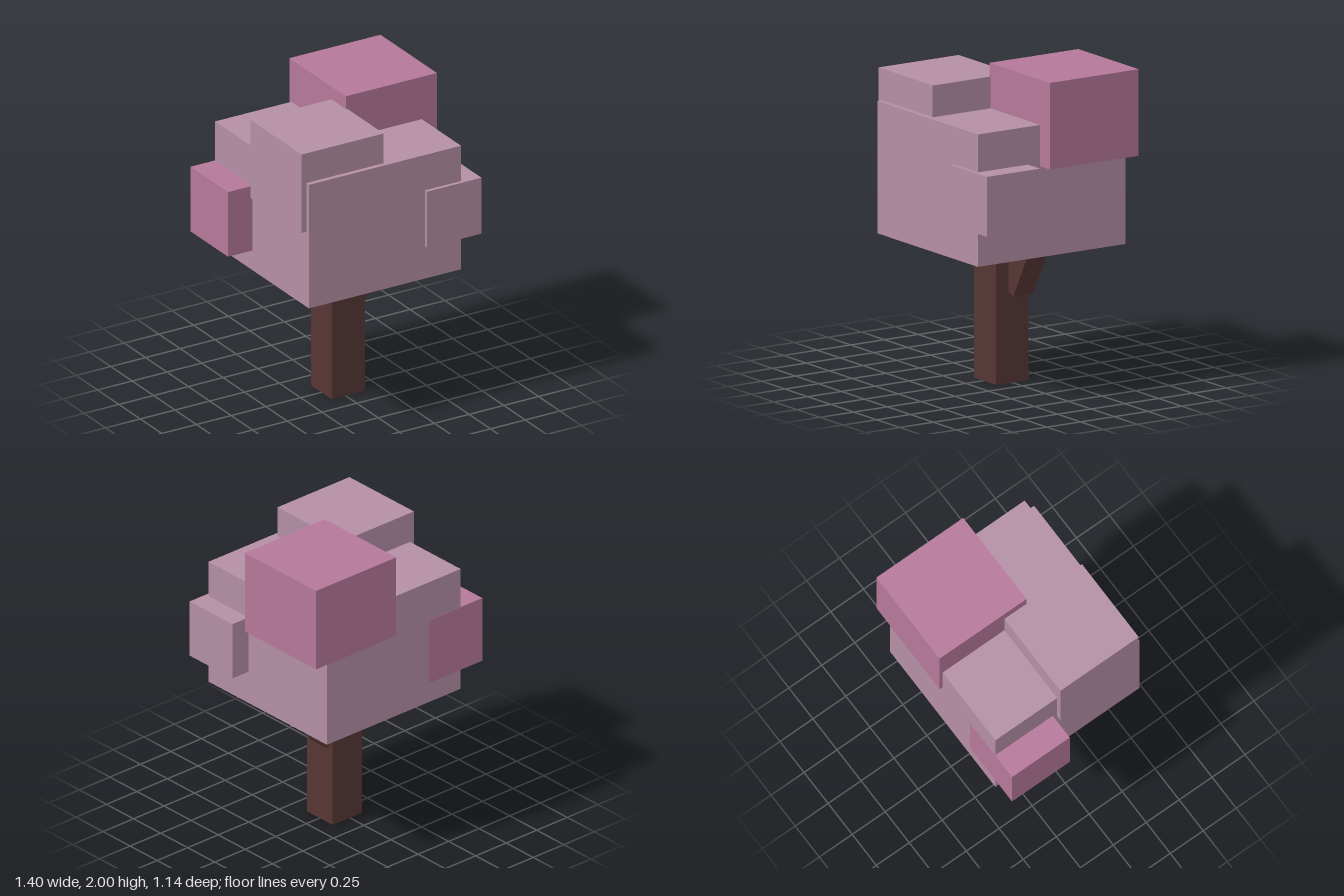
import * as THREE from 'three';

const flat = (name, color) => {
  const m = new THREE.MeshStandardMaterial({ color, side: THREE.DoubleSide });
  m.name = name;
  return m;
};

// Box without its underside
function openBox(w, h, d) {
  const g = new THREE.BoxGeometry(w, h, d);
  const index = Array.from(g.index.array);
  index.splice(18, 6);
  g.setIndex(index);
  g.clearGroups();
  return g;
}

export function createModel() {
  const tree = new THREE.Group();
  tree.name = 'blockTree';

  const leaf = flat('mauveLeaf', 0xb48fa4);
  const blossom = flat('pinkLeaf', 0xb57899);
  const bark = flat('bark', 0x563634);

  // Axis-aligned block given by its lower and upper corners
  const block = (name, material, [x0, y0, z0], [x1, y1, z1]) => {
    const mesh = new THREE.Mesh(openBox(x1 - x0, y1 - y0, z1 - z0), material);
    mesh.position.set((x0 + x1) / 2, (y0 + y1) / 2, (z0 + z1) / 2);
    mesh.name = name;
    tree.add(mesh);
  };

  // Square leaning branch given by its centre and lean
  const branch = (name, length, width, position, rotation) => {
    const mesh = new THREE.Mesh(openBox(width, length, width), bark);
    mesh.position.set(...position);
    mesh.rotation.set(...rotation);
    mesh.name = name;
    tree.add(mesh);
  };

  // Trunk and branches
  block('trunk', bark, [-0.1, 0, -0.12], [0.14, 0.98, 0.12]);
  branch('leftBranch', 0.38, 0.148, [0.218, 0.752, -0.045], [0, 0, -0.51]);
  branch('rightBranch', 0.31, 0.148, [-0.085, 0.838, 0], [-0.37, 0, 0.17]);

  // Foliage blocks
  block('mainFoliage', leaf, [-0.527, 0.882, -0.549], [0.568, 1.715, 0.546]);
  block('upperFoliage', leaf, [-0.56, 1.387, -0.08], [0.03, 1.915, 0.515]);
  block('sideFoliage', leaf, [0.307, 1.1, 0.175], [0.7, 1.477, 0.57]);
  block('crownBlossom', blossom, [0.021, 1.455, -0.572], [0.677, 2, 0.087]);
  block('sideBlossom', blossom, [-0.703, 1.015, -0.551], [-0.268, 1.451, -0.113]);

  return tree;
}
